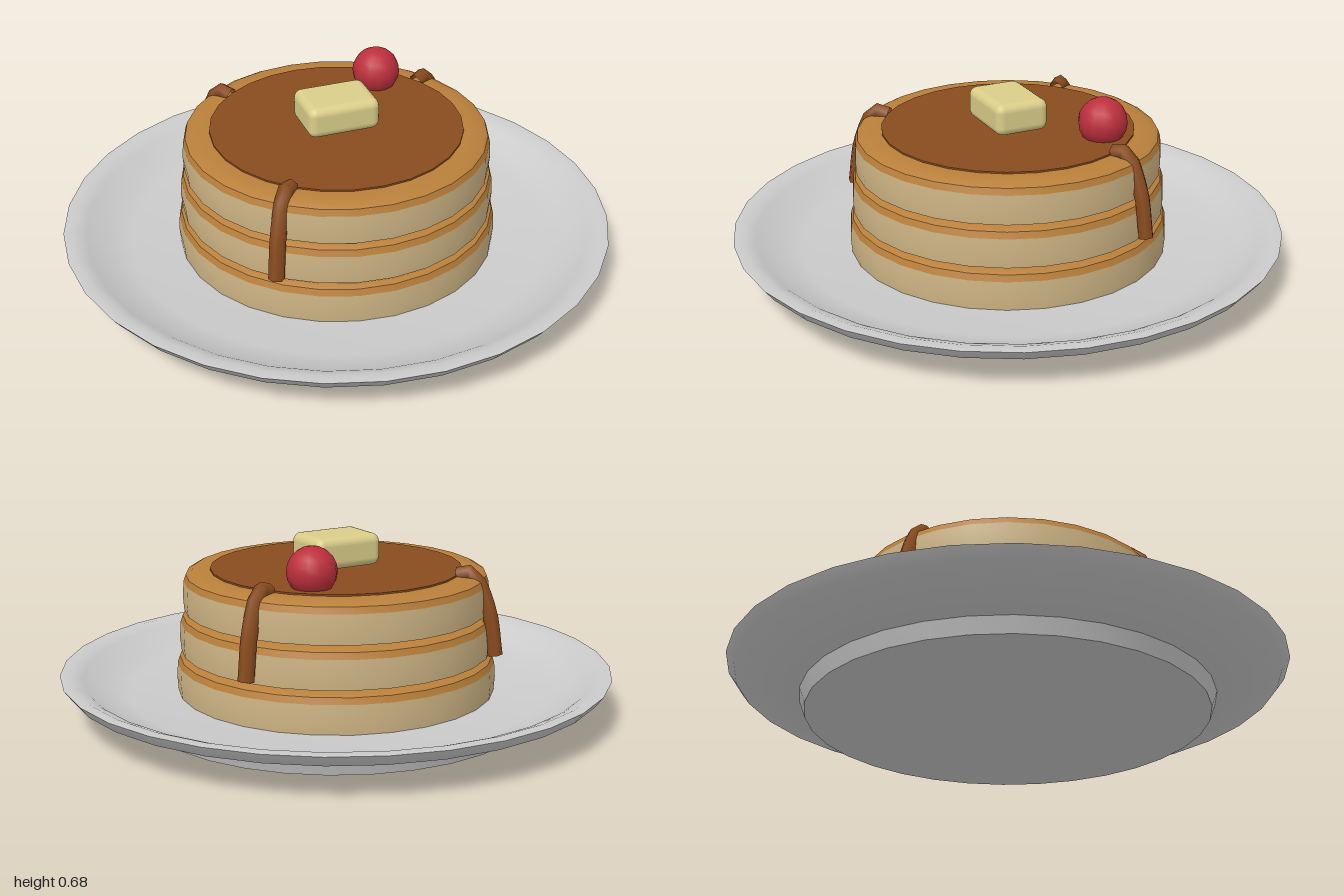
import * as THREE from 'three';
import { toCreasedNormals } from 'three/addons/utils/BufferGeometryUtils.js';
import { RoundedBoxGeometry } from 'three/addons/geometries/RoundedBoxGeometry.js';

const material = (color, side = THREE.FrontSide) =>
  new THREE.MeshStandardMaterial({ color, side });

const plateMat = material(0xcccccc);
const batterMat = material(0xcdb484, THREE.DoubleSide);
const crustMat = material(0xb97f3a, THREE.DoubleSide);
const syrupMat = material(0x8a4c1e);
const dripMat = material(0x8a4c1e, THREE.DoubleSide);
const butterMat = material(0xdacd89);
const berryMat = material(0xbc2f3c);

function add(parent, name, geometry, mat, x = 0, y = 0, z = 0) {
  const mesh = new THREE.Mesh(geometry, mat);
  mesh.name = name;
  mesh.position.set(x, y, z);
  parent.add(mesh);
  return mesh;
}

// Turned solid from [radius, height] pairs, listed bottom to top
function turned(profile, segments) {
  const points = profile.map(([r, y]) => new THREE.Vector2(r, y));
  return toCreasedNormals(new THREE.LatheGeometry(points, segments), 0.7);
}

// Pancake: pale side wall with a browned, rounded top
function pancake(radius, y) {
  const group = new THREE.Group();
  group.name = 'pancake';
  add(group, 'batterSide', turned([
    [0, 0], [radius, 0], [radius + 0.004, 0.05], [radius, 0.105],
  ], 28), batterMat);
  add(group, 'brownedTop', turned([
    [radius, 0.105], [radius - 0.008, 0.128], [radius - 0.03, 0.14], [radius - 0.07, 0.143], [0, 0.143],
  ], 28), crustMat);
  group.position.y = y;
  return group;
}

// Syrup drip running over the edge and down the side, at an angle from +x towards +z
function drip(angle) {
  const path = [[0.45, 0.53], [0.5, 0.54], [0.563, 0.42], [0.592, 0.25]].map(([r, y]) =>
    new THREE.Vector3(r * Math.cos(angle), y, r * Math.sin(angle)));
  const curve = new THREE.CatmullRomCurve3(path);
  return new THREE.TubeGeometry(curve, 8, 0.028, 6);
}

export function createModel() {
  const model = new THREE.Group();
  model.name = 'pancakeStack';

  // Plate with a flat foot and a raised rim
  add(model, 'plate', turned([
    [0, 0], [0.72, 0], [0.74, 0.055], [0.97, 0.125], [1, 0.165],
    [0.965, 0.168], [0.92, 0.15], [0.86, 0.108], [0.76, 0.087], [0, 0.082],
  ], 32), plateMat);

  // Three pancakes, narrowing slightly upwards
  [0.578, 0.564, 0.55].forEach((radius, i) => model.add(pancake(radius, 0.085 + i * 0.15)));

  // Syrup pool and drips
  add(model, 'syrupPool', new THREE.CylinderGeometry(0.455, 0.455, 0.01, 28), syrupMat, 0, 0.529, 0);
  [130, 230, -28].forEach((deg) =>
    add(model, 'syrupDrip', drip(THREE.MathUtils.degToRad(deg)), dripMat));

  // Butter pat and berry
  add(model, 'butter', new RoundedBoxGeometry(0.265, 0.115, 0.2, 3, 0.03), butterMat, 0, 0.597, 0);
  add(model, 'berry', new THREE.SphereGeometry(0.088, 14, 10), berryMat, 0.25, 0.588, -0.25);

  return model;
}
